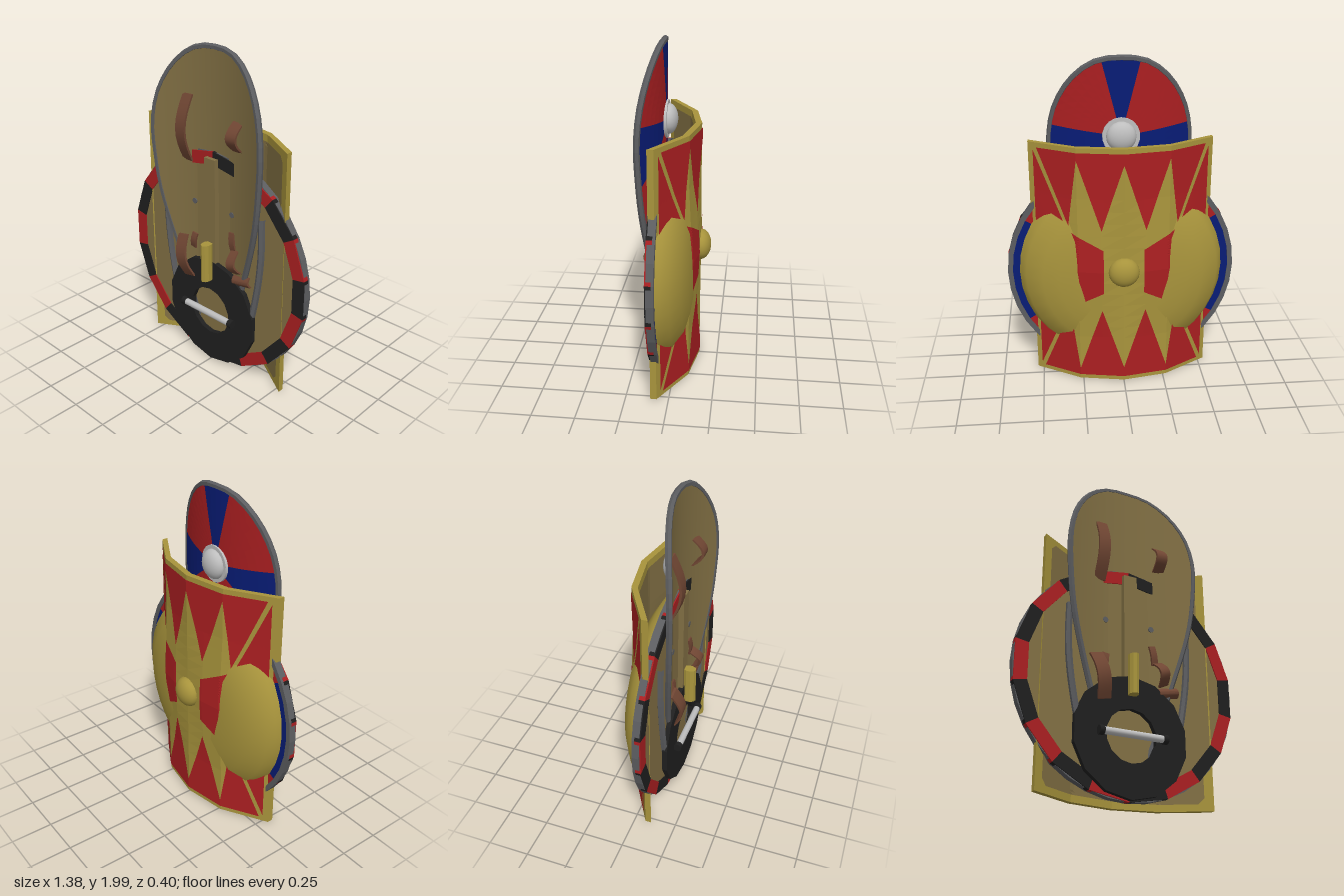
import * as THREE from 'three';
import { toCreasedNormals } from 'three/addons/utils/BufferGeometryUtils.js';

const material = (name, color) => {
  const m = new THREE.MeshStandardMaterial({ color });
  m.name = name;
  return m;
};

export function createModel() {
  const model = new THREE.Group();
  const gold = material('gold', 0xa8943c);
  const wood = material('wood', 0x827044);
  const red = material('red', 0xab1f21);
  const blue = material('blue', 0x081c76);
  const black = material('black', 0x1f1f1f);
  const grey = material('iron grey', 0x5c5d60);
  const leather = material('leather', 0x704633);
  const silver = material('silver', 0xbebebe);

  const add = (name, geo, mat, parent = model, x = 0, y = 0, z = 0) => {
    const mesh = new THREE.Mesh(geo, mat);
    mesh.name = name;
    mesh.position.set(x, y, z);
    parent.add(mesh);
    return mesh;
  };
  const group = (name) => {
    const g = new THREE.Group();
    g.name = name;
    model.add(g);
    return g;
  };
  const flat = (geo) => {
    const g = geo.toNonIndexed();
    g.computeVertexNormals();
    return g;
  };
  const fromTriangles = (pos) => {
    const g = new THREE.BufferGeometry();
    g.setAttribute('position', new THREE.Float32BufferAttribute(pos, 3));
    g.computeVertexNormals();
    return g;
  };
  const shapeOf = (pts) => new THREE.Shape(pts.map(([x, y]) => new THREE.Vector2(x, y)));
  const slab = (shape, depth) => new THREE.ExtrudeGeometry(shape, { depth, bevelEnabled: false });
  const ngon = (r, n) => Array.from({ length: n }, (_, i) => {
    const a = Math.PI / 2 + (i / n) * Math.PI * 2;
    return [r * Math.cos(a), r * Math.sin(a)];
  });
  const ringShape = (outer, inner, n) => {
    const s = shapeOf(ngon(outer, n));
    s.holes.push(shapeOf(ngon(inner, n)));
    return s;
  };
  // shallow dome pointing to the back
  const bossGeo = (r, depth) => {
    const g = new THREE.SphereGeometry(r, 18, 8, 0, Math.PI * 2, 0, Math.PI / 2);
    g.scale(1, depth / r, 1);
    return g.rotateX(-Math.PI / 2);
  };

  // ---- rectangular shield, bent around the vertical axis ----
  const rect = group('rectangularShield');
  const MID = 0.768;
  const lerpTable = (t, x) => {
    let i = 1;
    while (i < t.length - 1 && x > t[i][0]) i++;
    const [a, b] = [t[i - 1], t[i]];
    return a[1] + ((x - a[0]) / (b[0] - a[0])) * (b[1] - a[1]);
  };
  const endCurve = [[0, -0.137], [0.268, -0.09], [0.536, 0.068]];
  const midCurve = [[0, -0.138], [0.134, -0.137], [0.268, -0.112], [0.536, 0.068]];
  const bend = (x, y) => {
    const b = Math.max(0, 1 - Math.abs(y - MID) / 0.45);
    const ax = Math.abs(x);
    return lerpTable(endCurve, ax) * (1 - b) + lerpTable(midCurve, ax) * b;
  };
  const body = new THREE.BoxGeometry(1.072, 1.506, 0.036, 8, 20, 1);
  const bp = body.attributes.position;
  for (let i = 0; i < bp.count; i++) {
    const x = bp.getX(i), y = bp.getY(i) + MID;
    bp.setXYZ(i, x, y, bend(x, y) + (bp.getZ(i) > 0 ? 0.036 : 0));
  }
  add('rectangularBody', flat(body), gold, rect);

  // lays a flat shape on the bent surface as a thin painted sheet
  const drape = (shape, offset, toBack, n = 24) => {
    const g = new THREE.ShapeGeometry(shape).toNonIndexed();
    const p = g.attributes.position;
    const out = [];
    for (let t = 0; t < p.count; t += 3) {
      const at = (i, j) => {
        const u = i / n, v = j / n, w = 1 - u - v;
        const x = p.getX(t) * w + p.getX(t + 1) * u + p.getX(t + 2) * v;
        const y = p.getY(t) * w + p.getY(t + 1) * u + p.getY(t + 2) * v + MID;
        return [x, y, bend(x, y) + offset];
      };
      const tri = (a, b, c) => out.push(...a, ...(toBack ? c : b), ...(toBack ? b : c));
      for (let i = 0; i < n; i++) for (let j = 0; j < n - i; j++) {
        tri(at(i, j), at(i + 1, j), at(i, j + 1));
        if (i + j < n - 1) tri(at(i + 1, j), at(i + 1, j + 1), at(i, j + 1));
      }
    }
    return fromTriangles(out);
  };
  // red fields between gold rays, one quarter mirrored four ways
  const fields = [
    [[0, 0.66], [0, 0.725], [0.268, 0.725], [0.268, 0.68], [0.13, 0.26]],
    [[0.268, 0.68], [0.268, 0.725], [0.488, 0.725], [0.32, 0.28]],
    [[0.12, 0], [0.12, 0.14], [0.33, 0.255], [0.508, 0.71], [0.508, 0]],
  ];
  for (const f of fields) for (const sx of [1, -1]) for (const sy of [1, -1])
    add('redField', drape(shapeOf(f.map(([x, y]) => [x * sx, y * sy])), -0.004, true), red, rect);
  // lining with cut corners on the inner side
  const lining = [[0.488, 0.68], [0.458, 0.714], [-0.458, 0.714], [-0.488, 0.68],
    [-0.488, -0.68], [-0.458, -0.714], [0.458, -0.714], [0.488, -0.68]];
  add('rectangularLining', drape(shapeOf(lining), 0.041, false, 36), wood, rect);
  add('rectangularBoss', bossGeo(0.092, 0.062), gold, rect, 0, MID, -0.138);

  // ---- round shield: domed face, flat inside, painted rim ----
  const round = group('roundShield');
  round.position.y = 0.703;
  const profile = [[0.62, -0.062], [0.605, -0.03], [0.58, 0.01], [0.48, 0.068], [0.38, 0.097], [0.27, 0.113], [0.14, 0.117], [0, 0.118]]
    .map(([r, h]) => new THREE.Vector2(r, h));
  const dome = new THREE.LatheGeometry(profile, 36).rotateX(-Math.PI / 2);
  add('dome', toCreasedNormals(dome, 0.6), gold, round);
  add('roundInside', new THREE.CircleGeometry(0.63, 18, Math.PI / 2), wood, round, 0, 0, 0.1);
  const SEG = Math.PI / 9;
  for (let i = 0; i < 18; i++) {
    const a = Math.PI / 2 + i * SEG, b = a + SEG;
    const at = (r, t) => [r * Math.cos(t), r * Math.sin(t)];
    const seg = shapeOf([at(0.615, a), at(0.694, a), at(0.694, b), at(0.615, b)]);
    add('rimBlock', slab(seg, 0.035), i % 2 ? black : red, round, 0, 0, 0.071);
    const back = shapeOf([at(0.6, a), at(0.672, a), at(0.672, b), at(0.6, b)]);
    add('rimBackPaint', slab(back, 0.008), Math.cos(4 * (a + SEG / 2)) > 0 ? blue : red, round, 0, 0, 0.062);
  }
  add('rimBand', slab(ringShape(0.692, 0.662, 36), 0.043), grey, round, 0, 0, 0.056);
  add('longHandle', new THREE.BoxGeometry(0.085, 0.8, 0.035), wood, round, 0, 0.257, 0.115);

  // ---- long tapering shield ----
  const kite = group('longShield');
  const half = [[0.14, 1.963], [0.27, 1.87], [0.37, 1.71], [0.412, 1.52], [0.405, 1.3], [0.37, 1.05], [0.255, 0.66], [0.12, 0.27]];
  const loop = [[0, 1.982], ...half, [0, 0.05], ...half.map(([x, y]) => [-x, y]).reverse()];
  const outline = new THREE.CatmullRomCurve3(loop.map(([x, y]) => new THREE.Vector3(x, y, 0)), true);
  const kiteZ = (x) => 0.064 + 0.102 * (x / 0.42) ** 2;
  const N = 80, CY = 1.54, STEPS = 8;
  const edge = outline.getSpacedPoints(N);
  const wedge = (i, offset, toBack) => {
    const out = [];
    const at = (p, k) => {
      const x = p.x * k, y = CY + (p.y - CY) * k;
      return [x, y, kiteZ(x) + offset];
    };
    for (let k = 0; k < STEPS; k++) {
      const [a, b] = toBack ? [edge[i], edge[i + 1]] : [edge[i + 1], edge[i]];
      const q = [at(a, k / STEPS), at(a, (k + 1) / STEPS), at(b, (k + 1) / STEPS), at(b, k / STEPS)];
      out.push(...q[0], ...q[1], ...q[2], ...q[0], ...q[2], ...q[3]);
    }
    return out;
  };
  const sheets = { front: [], red: [], blue: [] };
  for (let i = 0; i < N; i++) {
    const mx = (edge[i].x + edge[i + 1].x) / 2, my = (edge[i].y + edge[i + 1].y) / 2;
    const a = THREE.MathUtils.radToDeg(Math.atan2(Math.abs(mx), my - CY));
    const isBlue = a < 14 || (a > 80 && a < 124) || a > 172;
    sheets.front.push(...wedge(i, 0.026, false));
    sheets[isBlue ? 'blue' : 'red'].push(...wedge(i, 0, true));
  }
  add('longInside', toCreasedNormals(fromTriangles(sheets.front), 0.5), wood, kite);
  add('longRedPaint', fromTriangles(sheets.red), red, kite);
  add('longBluePaint', fromTriangles(sheets.blue), blue, kite);
  const rimPath = new THREE.CatmullRomCurve3(edge.slice(0, N).map((p) => new THREE.Vector3(p.x, p.y, kiteZ(p.x) + 0.012)), true);
  add('longRim', flat(new THREE.TubeGeometry(rimPath, 60, 0.018, 6, true)), grey, kite);
  add('longBossPlate', new THREE.CylinderGeometry(0.11, 0.11, 0.016, 18).rotateX(Math.PI / 2), silver, kite, 0, CY, 0.062);
  add('longBoss', bossGeo(0.088, 0.054), silver, kite, 0, CY, 0.054);

  // ---- side rims of the shorter shield tucked underneath ----
  for (const s of [1, -1]) {
    const path = new THREE.CatmullRomCurve3([[0.38, 1.1], [0.38, 0.85], [0.35, 0.6], [0.28, 0.32], [0.16, 0.13]]
      .map(([x, y]) => new THREE.Vector3(x * s, y, 0.112)));
    add('shortShieldRim', flat(new THREE.TubeGeometry(path, 16, 0.02, 6)), grey);
    add('rivet', new THREE.CylinderGeometry(0.018, 0.018, 0.02, 8).rotateX(Math.PI / 2), grey, model, 0.15 * s, 1.05, 0.098);
  }

  // ---- arched leather straps: x, y, z, width, height, rise, tilt ----
  for (const [x, y, z, w, h, rise, tilt] of [
    [-0.19, 1.5, 0.107, 0.072, 0.4, 0.065, -0.02], [0.2, 1.53, 0.107, 0.072, 0.17, 0.065, 0],
    [-0.195, 0.683, 0.135, 0.08, 0.27, 0.05, 0.2], [0.2, 0.765, 0.107, 0.06, 0.15, 0.065, 0.25],
    [0.245, 0.658, 0.115, 0.125, 0.06, 0.02, 0.2], [0.16, 0.88, 0.105, 0.04, 0.12, 0.01, 0.15],
    [-0.155, 0.79, 0.105, 0.04, 0.1, 0.01, -0.15],
  ]) {
    const g = new THREE.BoxGeometry(w, h, 0.014, 1, 8, 1);
    const p = g.attributes.position;
    for (let i = 0; i < p.count; i++) p.setZ(i, p.getZ(i) + rise * Math.cos((Math.PI * p.getY(i)) / h));
    add('strap', toCreasedNormals(g, 0.7), leather, model, x, y, z).rotation.z = tilt;
  }

  // ---- short upright grip with a rounded front ----
  const grip = new THREE.CylinderGeometry(0.029, 0.029, 0.24, 10);
  grip.scale(1, 1, 1.45);
  add('uprightGrip', flat(grip), gold, model, 0, 0.715, 0.16);

  // ---- small ring shield with a crossbar ----
  const buckler = group('smallShield');
  buckler.position.y = 0.365;
  add('ringBody', slab(ringShape(0.35, 0.155, 14), 0.03), black, buckler, 0, 0, 0.107);
  add('crossbar', new THREE.CylinderGeometry(0.021, 0.021, 0.37, 10).rotateZ(Math.PI / 2), silver, buckler, 0, 0, 0.16);
  for (const s of [1, -1])
    add('crossbarMount', new THREE.CylinderGeometry(0.027, 0.027, 0.03, 10).rotateZ(Math.PI / 2), black, buckler, 0.195 * s, 0, 0.158);

  return model;
}
